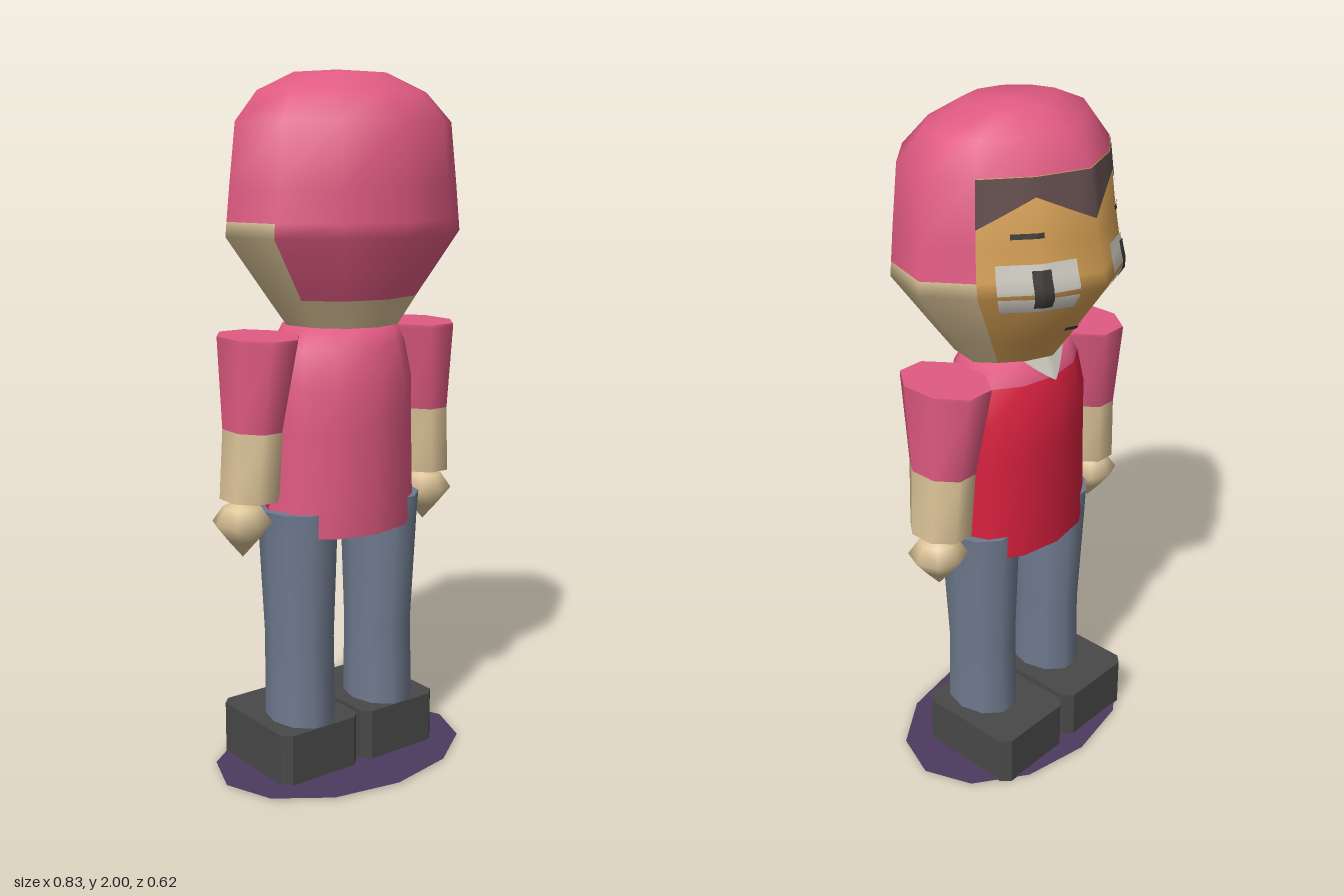
import * as THREE from 'three';

const mat = (name, color, side = THREE.FrontSide) => {
  const m = new THREE.MeshStandardMaterial({ color, side });
  m.name = name;
  return m;
};

// Skin a stack of equal-length rings; pick(row, column) chooses the material index.
function loft(name, rings, materials, pick = () => 0) {
  const n = rings[0].length;
  const lists = materials.map(() => []);
  for (let r = 0; r < rings.length - 1; r++) {
    for (let i = 0; i < n; i++) {
      const j = (i + 1) % n;
      const a = r * n + i, b = r * n + j, c = b + n, d = a + n;
      lists[pick(r, i)].push(a, b, c, a, c, d);
    }
  }
  const geo = new THREE.BufferGeometry().setFromPoints(rings.flat());
  geo.setIndex(lists.flat());
  let start = 0;
  lists.forEach((l, k) => { geo.addGroup(start, l.length, k); start += l.length; });
  geo.computeVertexNormals();
  const mesh = new THREE.Mesh(geo, materials.length > 1 ? materials : materials[0]);
  mesh.name = name;
  return mesh;
}

// Twelve-point ring with separate back (+z) and face (-z) depths.
const bodyRing = ([y, rx, back, face], kx = [1, 1], kz = [1, 1]) =>
  Array.from({ length: 12 }, (_, i) => {
    const a = (i * Math.PI) / 6;
    const k = i === 4 || i === 8 ? 0 : i === 5 || i === 7 ? 1 : -1;
    return new THREE.Vector3(
      rx * Math.sin(a) * (k < 0 ? 1 : kx[k]), y,
      Math.cos(a) * (Math.cos(a) > 0 ? back : face) * (k < 0 ? 1 : kz[k]));
  });

// Elliptical ring for limbs: [y, centre x, radius x, centre z, radius z].
const limbRing = ([y, cx, rx, cz, rz], n) =>
  Array.from({ length: n }, (_, i) => {
    const a = ((i + 0.5) * 2 * Math.PI) / n, k = 1 / Math.cos(Math.PI / n);
    return new THREE.Vector3(cx + rx * k * Math.sin(a), y, cz + rz * k * Math.cos(a));
  });

// Point on a lofted body: u = 0 is the middle of the face side, positive u runs to +x.
function surfaceAt(rings, u, y) {
  let r = 0;
  while (r < rings.length - 2 && rings[r + 1][0].y <= y) r++;
  const lo = rings[r], hi = rings[r + 1];
  const f = (y - lo[0].y) / (hi[0].y - lo[0].y || 1);
  const t = 6 - u, i = Math.floor(t);
  const at = (k) => lo[k].clone().lerp(hi[k], f);
  return at(i).lerp(at(i + 1), t - i);
}

// Thin painted strip following the body between the curves low(u) and high(u).
function strip(name, rings, u0, u1, low, high, lift, material) {
  const nu = 16, nv = 4, pts = [], idx = [];
  for (let i = 0; i <= nu; i++) {
    const u = u0 + ((u1 - u0) * i) / nu;
    for (let j = 0; j <= nv; j++) {
      const p = surfaceAt(rings, u, low(u) + ((high(u) - low(u)) * j) / nv);
      p.x *= lift;
      p.z *= lift;
      pts.push(p);
      if (i < nu && j < nv) {
        const a = i * (nv + 1) + j, b = a + nv + 1;
        idx.push(a, a + 1, b, b, a + 1, b + 1);
      }
    }
  }
  const geo = new THREE.BufferGeometry().setFromPoints(pts);
  geo.setIndex(idx);
  geo.computeVertexNormals();
  const mesh = new THREE.Mesh(geo, material);
  mesh.name = name;
  return mesh;
}

export function createModel() {
  const root = new THREE.Group();
  root.name = 'figure';
  const D = THREE.DoubleSide;
  const pink = mat('pink cloth', 0xe05a82, D);
  const red = mat('red shirt front', 0xd9213f, D);
  const tan = mat('tan skin', 0xd9c196);
  const face = mat('face skin', 0xd6a055);
  const blue = mat('blue grey trousers', 0x6f7a8e);
  const grey = mat('dark grey shoes', 0x484848);
  const purple = mat('purple base', 0x4c3a5e, D);
  const brown = mat('brown hair', 0x654f50, D);
  const white = mat('off white', 0xd4d0c6, D);
  const dark = mat('dark detail', 0x403c3a, D);

  // Head with hood, bare cheeks and face
  const head = [
    [1.31, 0, 0, 0], [1.31, 0.175, 0.19, 0.13], [1.31, 0.175, 0.19, 0.13],
    [1.39, 0.238, 0.23, 0.19], [1.56, 0.37, 0.312, 0.312], [1.6, 0.366, 0.309, 0.297],
    [1.69, 0.356, 0.305, 0.275], [1.86, 0.335, 0.295, 0.245], [1.94, 0.265, 0.22, 0.165],
    [1.99, 0.145, 0.14, 0.09], [2, 0, 0, 0],
  ].map((r) => bodyRing(r, [0.89, 0.86], [0.8, 0.89]));
  root.add(loft('head', head, [pink, tan, face], (r, i) => {
    if (r < 2 || r >= 7) return r < 2 ? 1 : 0;
    if (i >= 4 && i <= 7) return 2;
    if (i < 2 || i > 9) return r >= 3 ? 0 : 1;
    return r >= 5 ? 0 : 1;
  }));

  // Zigzag fringe, mouth, eyes and brows
  const zigzag = (u) => 1.735 + 0.075 * (1 - Math.abs(Math.abs(u) - 1));
  root.add(strip('fringe', head, -2, 2, zigzag, () => 1.859, 1.012, brown));
  root.add(strip('mouth', head, -0.3, 0.3, () => 1.415, () => 1.427, 1.02, dark));
  for (const s of [-1, 1]) {
    const patch = (name, a, b, lo, hi, lift, m) => root.add(strip(
      name, head, Math.min(a * s, b * s), Math.max(a * s, b * s), () => lo, () => hi, lift, m));
    patch('eyeWhite', 0.42, 1.7, 1.51, 1.645, 1.016, white);
    patch('pupil', 0.85, 1.15, 1.525, 1.63, 1.028, dark);
    patch('eyebrow', 0.9, 1.45, 1.708, 1.722, 1.016, dark);
  }

  // Shirt with red front panel, open at the hem
  const torso = [
    [0.72, 0.245, 0.185, 0.157], [0.84, 0.237, 0.187, 0.157], [1.03, 0.23, 0.19, 0.16],
    [1.15, 0.225, 0.195, 0.165], [1.25, 0.208, 0.168, 0.137], [1.31, 0.175, 0.135, 0.108],
    [1.31, 0, 0, 0],
  ].map((r) => bodyRing(r));
  root.add(loft('shirt', torso, [pink, red], (r, i) => (r < 4 && i >= 3 && i <= 8 ? 1 : 0)));
  root.add(strip('collar', torso, -0.9, 0.9, (u) => 1.24 + 0.07 * Math.abs(u) / 0.9,
    () => 1.309, 1.03, white));

  // Chamfered shoe outline
  const c = 0.025, x0 = 0.008, x1 = 0.28, z0 = -0.13, z1 = 0.21;
  const sole = new THREE.Shape([
    [x0 + c, z0], [x1 - c, z0], [x1, z0 + c], [x1, z1 - c],
    [x1 - c, z1], [x0 + c, z1], [x0, z1 - c], [x0, z0 + c],
  ].map((p) => new THREE.Vector2(...p)));
  const shoeGeo = new THREE.ExtrudeGeometry(sole, { depth: 0.155, bevelEnabled: false });
  shoeGeo.rotateX(-Math.PI / 2);

  // Limbs on both sides
  const handGeo = new THREE.LatheGeometry([
    [0, 0.67], [0.045, 0.722], [0.085, 0.772], [0.055, 0.815], [0, 0.84],
  ].map((p) => new THREE.Vector2(...p)), 8);
  for (const s of [-1, 1]) {
    const side = s > 0 ? 'left' : 'right';
    const limb = (name, rows, n, m) => root.add(loft(side + name,
      rows.map(([y, cx, ...rest]) => limbRing([y, cx * s, ...rest], n)), [m]));
    limb('Sleeve', [
      [1.035, 0.297, 0.073, 0.008, 0.098], [1.28, 0.277, 0.097, 0.008, 0.132],
      [1.29, 0.277, 0.097, 0.008, 0.132], [1.29, 0.277, 0.097, 0.008, 0.132],
      [1.29, 0.277, 0, 0.008, 0],
    ], 8, pink);
    limb('Forearm', [
      [0.84, 0.31, 0, 0.008, 0], [0.84, 0.31, 0.075, 0.008, 0.09],
      [0.84, 0.31, 0.075, 0.008, 0.09], [1.035, 0.297, 0.073, 0.008, 0.098],
    ], 8, tan);
    limb('Leg', [
      [0.15, 0.145, 0.09, 0.012, 0.113], [0.4, 0.145, 0.09, 0.01, 0.105],
      [0.72, 0.148, 0.101, 0.01, 0.12], [0.79, 0.152, 0.104, 0.01, 0.12],
      [0.79, 0.152, 0.104, 0.01, 0.12], [0.79, 0.152, 0, 0.01, 0],
    ], 10, blue);

    const hand = new THREE.Mesh(handGeo, tan);
    hand.name = side + 'Hand';
    hand.position.x = 0.33 * s;
    const shoe = new THREE.Mesh(shoeGeo, grey);
    shoe.name = side + 'Shoe';
    shoe.position.x = s > 0 ? 0 : -(x0 + x1);
    root.add(hand, shoe);
  }

  // Flat oval base under the shoes
  const base = new THREE.Mesh(new THREE.CircleGeometry(1, 12), purple);
  base.name = 'base';
  base.rotation.x = -Math.PI / 2;
  base.scale.set(0.404, 0.285, 1);
  base.position.set(0, 0.004, 0.012);
  root.add(base);
  return root;
}
